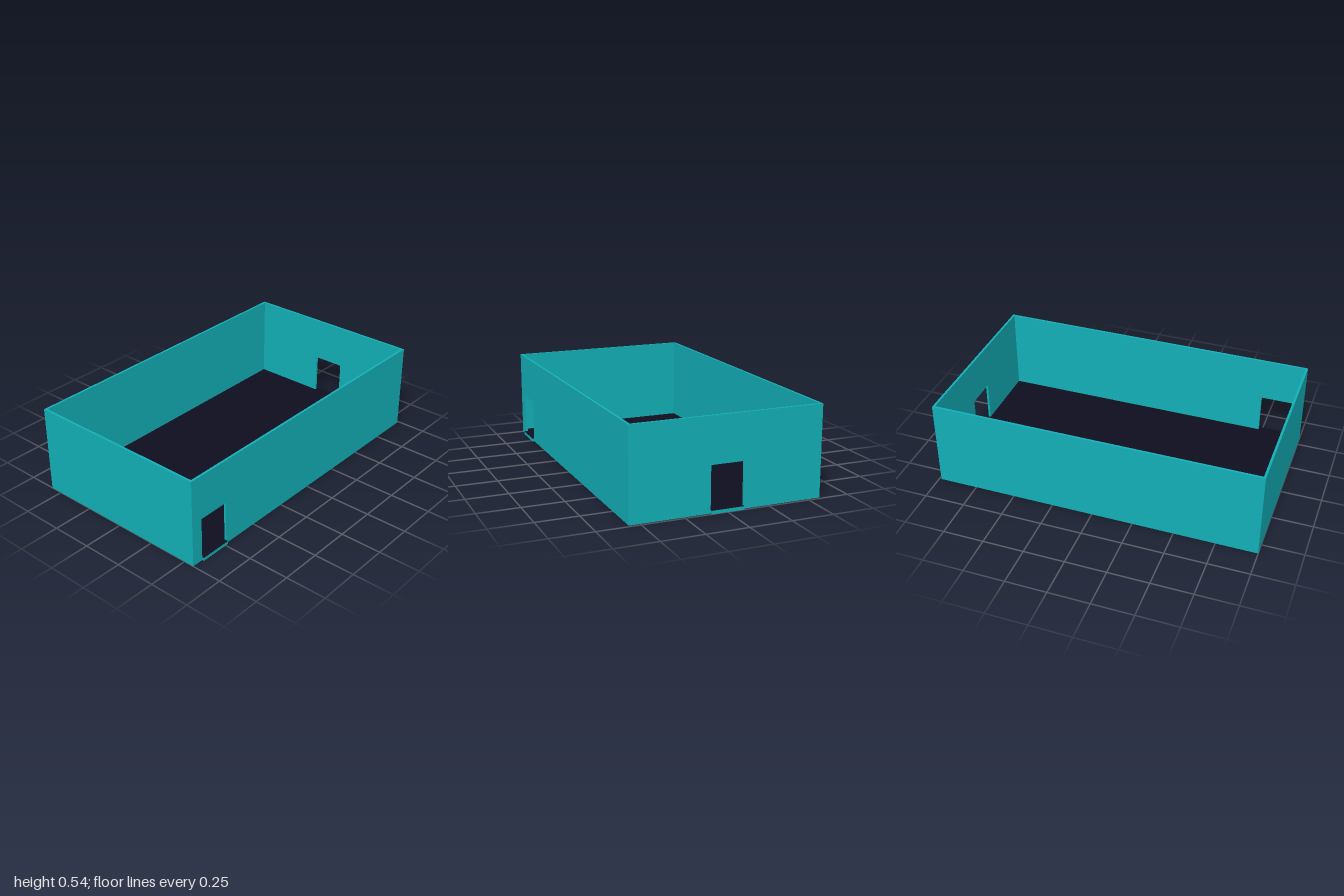
import * as THREE from 'three';

const X0 = -1, X1 = 0.986, Z0 = -0.576, Z1 = 0.564; // outer wall faces
const H = 0.54, T = 0.014, FLOOR = 0.02, DOOR_H = 0.27;
const FRONT_DOOR = [-0.928, -0.732]; // along x
const SIDE_DOOR = [-0.096, 0.1]; // along -z

export function createModel() {
  const group = new THREE.Group();
  const teal = new THREE.MeshStandardMaterial({ color: 0x12aeb5 });
  const dark = new THREE.MeshStandardMaterial({ color: 0x0d0d20 });

  // Upright panel from u0 to u1, with an optional doorway cut up from the ground
  function wall(name, u0, u1, door) {
    const s = new THREE.Shape();
    s.moveTo(u0, 0);
    if (door) {
      s.lineTo(door[0], 0);
      s.lineTo(door[0], DOOR_H);
      s.lineTo(door[1], DOOR_H);
      s.lineTo(door[1], 0);
    }
    s.lineTo(u1, 0);
    s.lineTo(u1, H);
    s.lineTo(u0, H);
    s.closePath();
    const mesh = new THREE.Mesh(new THREE.ExtrudeGeometry(s, { depth: T, bevelEnabled: false }), teal);
    mesh.name = name;
    group.add(mesh);
    return mesh;
  }

  // Slab standing on the ground with a dark upper face
  function slab(name, x0, x1, z0, z1) {
    const mesh = new THREE.Mesh(new THREE.BoxGeometry(x1 - x0, FLOOR, z1 - z0),
      [teal, teal, dark, teal, teal, teal]);
    mesh.position.set((x0 + x1) / 2, FLOOR / 2, (z0 + z1) / 2);
    mesh.name = name;
    group.add(mesh);
  }

  // Long walls
  wall('frontWall', X0, X1, FRONT_DOOR).position.z = Z1 - T;
  wall('backWall', X0, X1).position.z = Z0;

  // End walls, fitted between the long walls
  const ends = [['leftWall', X1 - T, SIDE_DOOR], ['rightWall', X0, null]];
  for (const [name, x, door] of ends) {
    const mesh = wall(name, -(Z1 - T), -(Z0 + T), door);
    mesh.rotation.y = Math.PI / 2;
    mesh.position.x = x;
  }

  // Floor and the door sills running out through the walls
  slab('floor', X0 + T, X1 - T, Z0 + T, Z1 - T);
  slab('frontDoorSill', FRONT_DOOR[0], FRONT_DOOR[1], Z1 - T, 0.576);
  slab('sideDoorSill', X1 - T, 1, -SIDE_DOOR[1], -SIDE_DOOR[0]);

  return group;
}
